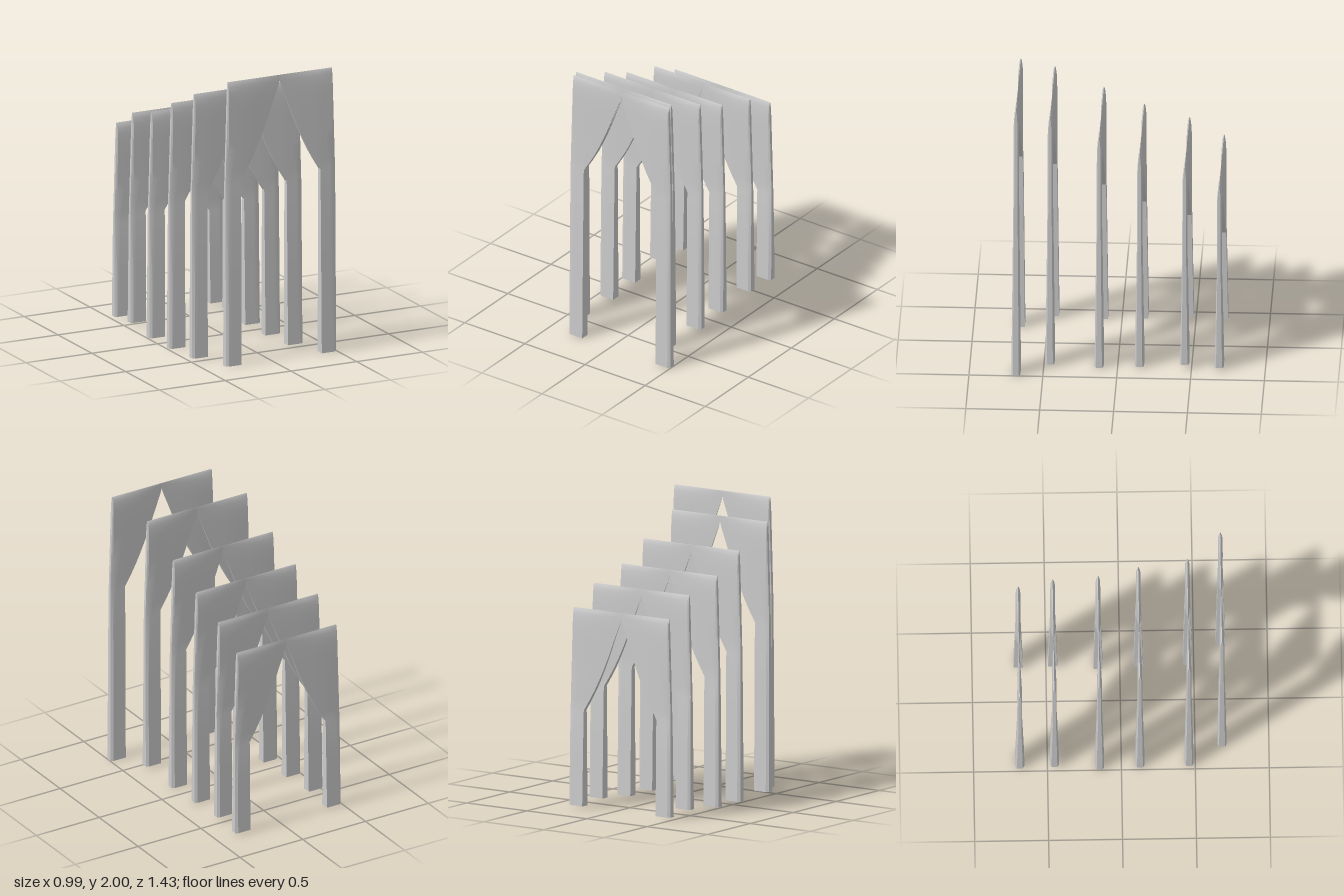
import * as THREE from 'three';
import { toCreasedNormals } from 'three/addons/utils/BufferGeometryUtils.js';

const material = new THREE.MeshStandardMaterial({ color: 0xcccccc });
const lerp = THREE.MathUtils.lerp;

const HEAD = 0.7; // height of the winged head above the leg
const COLS = 5; // columns from the inner edge to the bevel

// Inner edge of the head: [height above leg, distance from the centre line]
const curve = [[0, 0.302], [0.07, 0.258], [0.15, 0.212], [0.22, 0.177], [0.3, 0.14],
  [0.4, 0.098], [0.5, 0.06], [0.58, 0.028], [0.625, 0.01], [0.66, 0], [0.69, 0], [0.7, 0]];

// Half thickness of the head by height
function headHalf(h) {
  if (h < 0.55) return 0.016;
  return 0.016 * Math.sqrt(Math.max(0, 1 - ((h - 0.55) / 0.15) ** 2));
}

// One horizontal row: inner and outer x, bevel width, half thickness at x
function makeRows(bottom, top) {
  const spring = top - HEAD;
  const rows = [];
  for (const t of [0, 0.5, 0.97]) {
    rows.push({
      y: lerp(bottom, spring, t), inner: lerp(0.305, 0.302, t), outer: lerp(0.42, 0.416, t),
      bevel: 0.018, half: () => lerp(0.031, 0.018, t),
    });
  }
  for (const [h, inner] of curve) {
    const k = h / HEAD;
    rows.push({
      y: spring + h, inner, outer: lerp(0.416, 0.396, k), bevel: lerp(0.018, 0.006, k),
      half: (x) => headHalf(h) * Math.min(1, x / 0.3) ** 0.75,
    });
  }
  return rows;
}

// Loft half an arch; side is +1 or -1
function halfArch(bottom, top, side) {
  const rows = makeRows(bottom, top);
  const ring = 2 * (COLS + 1);
  const positions = [];
  const index = [];
  for (const r of rows) {
    const front = [];
    const edge = r.outer - r.bevel;
    for (let k = 0; k < COLS; k++) {
      const x = lerp(r.inner, edge, k / (COLS - 1));
      front.push([x, r.half(x)]);
    }
    front.push([r.outer, r.half(r.outer) * 0.65]);
    for (const [x, z] of front) positions.push(side * x, r.y, z);
    for (const [x, z] of front.reverse()) positions.push(side * x, r.y, -z);
  }
  const tri = (a, b, c) => (side > 0 ? index.push(a, b, c) : index.push(a, c, b));
  for (let i = 0; i < rows.length - 1; i++) {
    for (let j = 0; j < ring; j++) {
      const a = i * ring + j;
      const b = i * ring + ((j + 1) % ring);
      tri(a, b, b + ring);
      tri(a, b + ring, a + ring);
    }
  }
  // Foot
  for (let j = 0; j < COLS; j++) {
    const back = ring - 1 - j;
    tri(j, back, back - 1);
    tri(j, back - 1, j + 1);
  }
  const geometry = new THREE.BufferGeometry();
  geometry.setAttribute('position', new THREE.Float32BufferAttribute(positions, 3));
  geometry.setIndex(index);
  return toCreasedNormals(geometry, 0.4);
}

export function createModel() {
  const model = new THREE.Group();
  model.name = 'archRow';
  // Arches from front to back: centre x, z, bottom, top
  const arches = [
    [0.077, 0.683, 0.005, 2.0],
    [-0.064, 0.458, 0.022, 1.877],
    [-0.064, 0.126, 0.005, 1.728],
    [-0.077, -0.147, 0.01, 1.598],
    [-0.064, -0.453, 0.038, 1.51],
    [-0.064, -0.687, 0.02, 1.38],
  ];
  // The fourth arch sits a little to the right of the others
  arches.forEach(([x, z, bottom, top], i) => {
    const arch = new THREE.Group();
    arch.name = `arch${i + 1}`;
    for (const side of [1, -1]) {
      const half = new THREE.Mesh(halfArch(bottom, top, side), material);
      half.name = side > 0 ? 'leftHalf' : 'rightHalf';
      arch.add(half);
    }
    arch.position.set(x, 0, z);
    model.add(arch);
  });
  return model;
}
